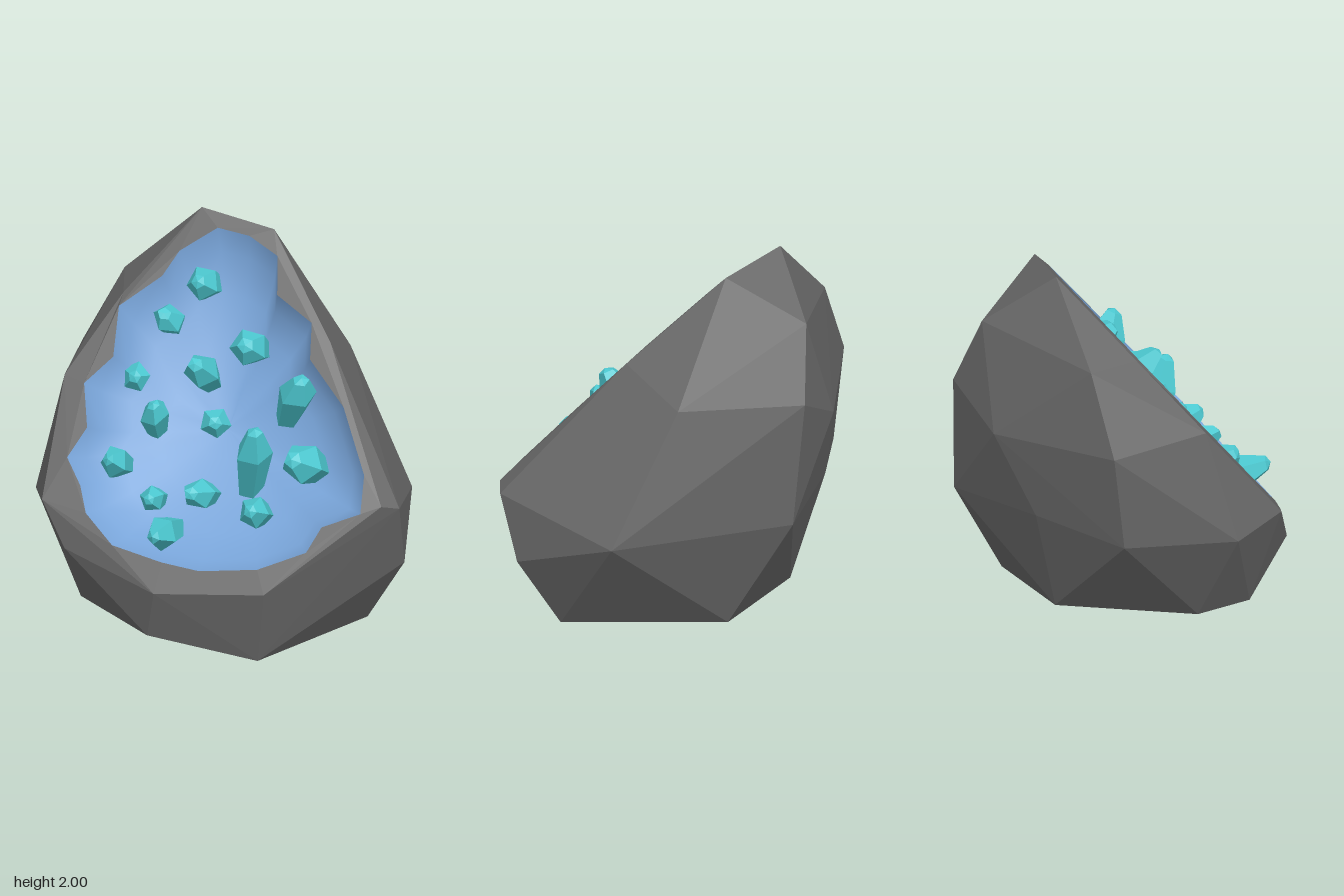
import * as THREE from 'three';
import { ConvexGeometry } from 'three/addons/geometries/ConvexGeometry.js';

const stone = new THREE.MeshStandardMaterial({ color: 0x666666 });
const lining = new THREE.MeshStandardMaterial({ color: 0x78a4d8 });
const crystal = new THREE.MeshStandardMaterial({ color: 0x4cc8d0 });
stone.name = 'stone';
lining.name = 'lining';
crystal.name = 'crystal';

// Sloping plane on which the rock is broken open, and how far the inner lip rises above it
const NORMAL = new THREE.Vector3(0, 0.62, 0.785);
const OFFSET = 0.907;
const LIP = 0.012;
const onCut = (x, y) => new THREE.Vector3(x, y, (OFFSET - NORMAL.y * y) / NORMAL.z);

// Outer and inner edges of the broken rim, as seen from the front
const RIM = [[-0.27, 2], [0.12, 1.94], [0.5, 1.5], [0.89, 0.85], [0.35, 0.44],
  [-0.22, 0.4], [-0.87, 0.74], [-0.85, 1.26], [-0.61, 1.62]];
const OPENING = [[-0.77, 0.92], [-0.69, 1.05], [-0.74, 1.23], [-0.61, 1.35], [-0.62, 1.56],
  [-0.42, 1.7], [-0.35, 1.81], [-0.17, 1.92], [0, 1.9], [0.16, 1.83], [0.19, 1.67],
  [0.39, 1.57], [0.41, 1.42], [0.62, 1.24], [0.78, 0.97], [0.79, 0.81], [0.6, 0.74],
  [0.54, 0.63], [0.3, 0.54], [0, 0.51], [-0.2, 0.53], [-0.47, 0.58], [-0.63, 0.7], [-0.68, 0.81]];

// Other corners of the rock
const CORNERS = [
  [-0.67, 1.63, -0.4], [-0.88, 1.22, -0.36], [-0.97, 0.67, 0.29], [-0.73, 0.52, 0.66],
  [0.97, 0.82, 0.42], [0.97, 0.47, 0.31], [0.52, 1.33, -0.38], [0.88, 0.64, -0.23],
  [-0.07, 1.72, -0.75], [0.07, 1.34, -0.85], [-0.27, 1.17, -0.77], [0.13, 0.69, -0.82],
  [-0.42, 0.74, -0.6], [-0.87, 0.7, -0.3], [0.26, 0.11, -0.5], [-0.32, 0.15, -0.45],
  [-0.7, 0.15, 0.18], [-0.69, 0.17, 0.47], [0.07, 0, 0.16], [0.3, 0.03, 0.73],
  [0.75, 0.09, 0.2], [-0.27, 0.13, 0.77],
];

function add(group, name, geometry, material) {
  const mesh = new THREE.Mesh(geometry, material);
  mesh.name = name;
  group.add(mesh);
  return mesh;
}

// Faceted rock, with the faces lying on the cut left out
function rockGeometry() {
  const points = CORNERS.map((c) => new THREE.Vector3(...c)).concat(RIM.map((p) => onCut(...p)));
  const pos = new ConvexGeometry(points).getAttribute('position');
  const kept = [];
  for (let i = 0; i < pos.count; i += 3) {
    const tri = [0, 1, 2].map((k) => new THREE.Vector3().fromBufferAttribute(pos, i + k));
    if (!tri.every((p) => Math.abs(p.dot(NORMAL) - OFFSET) < 0.004)) kept.push(...tri);
  }
  const geometry = new THREE.BufferGeometry().setFromPoints(kept);
  geometry.computeVertexNormals();
  return geometry;
}

// Broken rim around the opening, rising slightly to its inner lip
function rimGeometry() {
  const toVec = (list) => list.map((p) => new THREE.Vector2(...p));
  const shape = new THREE.Shape(toVec(RIM));
  shape.holes.push(new THREE.Path(toVec(OPENING)));
  let geometry = new THREE.ShapeGeometry(shape);
  const pos = geometry.getAttribute('position');
  for (let i = 0; i < pos.count; i++) {
    const p = onCut(pos.getX(i), pos.getY(i));
    if (i >= RIM.length) p.addScaledVector(NORMAL, LIP);
    pos.setXYZ(i, p.x, p.y, p.z);
  }
  geometry = geometry.toNonIndexed();
  geometry.computeVertexNormals();
  return geometry;
}

// Shallow bowl: the opening shrinks towards its middle as it sinks into the rock
function cavityGeometry() {
  const rings = [[1, -LIP], [0.9, 0.09], [0.7, 0.17], [0.45, 0.22], [0.2, 0.25], [0, 0.255]];
  const middle = onCut(-0.02, 1.15);
  const n = OPENING.length;
  const points = [];
  const index = [];
  rings.forEach(([scale, depth], r) => {
    OPENING.forEach((p, i) => {
      points.push(onCut(...p).sub(middle).multiplyScalar(scale).add(middle).addScaledVector(NORMAL, -depth));
      if (r === 0) return;
      const j = (i + 1) % n;
      const a = (r - 1) * n;
      const b = r * n;
      index.push(a + i, b + i, a + j);
      if (scale > 0) index.push(a + j, b + i, b + j);
    });
  });
  const geometry = new THREE.BufferGeometry().setFromPoints(points);
  geometry.setIndex(index);
  geometry.computeVertexNormals();
  return geometry;
}

// Chunky five-sided crystal with a chipped, off-centre tip
function crystalGeometry(width, length, seed) {
  const r = width / 2;
  const profile = [[0, -0.64 * length], [0.75 * r, -0.58 * length], [1.15 * r, 0.15 * length],
    [0.5 * r, 0.52 * length], [0, 0.58 * length]];
  let geometry = new THREE.LatheGeometry(profile.map((p) => new THREE.Vector2(...p)), 5, seed);
  const pos = geometry.getAttribute('position');
  for (let i = 0; i < pos.count; i++) {
    const lean = Math.max(0, pos.getY(i)) / length;
    pos.setX(i, pos.getX(i) + lean * r * 0.5 * Math.sin(seed * 2.3));
    pos.setY(i, pos.getY(i) + pos.getX(i) * 0.35 * Math.cos(seed * 1.7));
  }
  geometry = geometry.toNonIndexed();
  geometry.computeVertexNormals();
  return geometry;
}

// Crystals: centre x, y, z, width, then the axis from base to tip
const CRYSTALS = [
  [-0.22, 1.64, -0.28, 0.16, -0.05, 0.09, 0.17], [-0.37, 1.47, -0.16, 0.14, 0, 0.11, 0.11],
  [-0.51, 1.22, 0.02, 0.14, 0, 0.06, 0.13], [-0.37, 1.08, 0.18, 0.14, 0, 0.17, 0.1],
  [-0.14, 1.3, 0.06, 0.16, 0, 0.18, 0.22], [0.07, 1.41, -0.06, 0.17, -0.04, 0.1, 0.18],
  [0.35, 1.23, 0.11, 0.17, 0.1, 0.26, 0.13], [0.18, 0.96, 0.32, 0.17, 0.06, 0.36, 0.13],
  [-0.05, 1.09, 0.19, 0.14, 0, 0.07, 0.16], [0.46, 0.97, 0.32, 0.19, -0.05, 0.13, 0.2],
  [-0.53, 0.89, 0.36, 0.15, -0.04, 0.11, 0.18], [-0.31, 0.76, 0.47, 0.12, -0.02, 0.06, 0.16],
  [-0.06, 0.8, 0.44, 0.14, -0.03, 0.08, 0.18], [0.23, 0.75, 0.49, 0.15, -0.03, 0.09, 0.18],
  [-0.22, 0.63, 0.58, 0.16, -0.04, 0.1, 0.33],
];

export function createModel() {
  const model = new THREE.Group();
  model.name = 'geode';
  add(model, 'rockShell', rockGeometry(), stone);
  add(model, 'brokenRim', rimGeometry(), stone);
  add(model, 'cavityLining', cavityGeometry(), lining);

  const cluster = new THREE.Group();
  cluster.name = 'crystals';
  model.add(cluster);
  const up = new THREE.Vector3(0, 1, 0);
  CRYSTALS.forEach(([x, y, z, width, vx, vy, vz], i) => {
    const axis = new THREE.Vector3(vx, vy, vz);
    const mesh = add(cluster, `crystal${i + 1}`, crystalGeometry(width, axis.length() + 0.01, i + 1), crystal);
    mesh.position.set(x, y, z);
    mesh.quaternion.setFromUnitVectors(up, axis.normalize());
  });
  return model;
}
